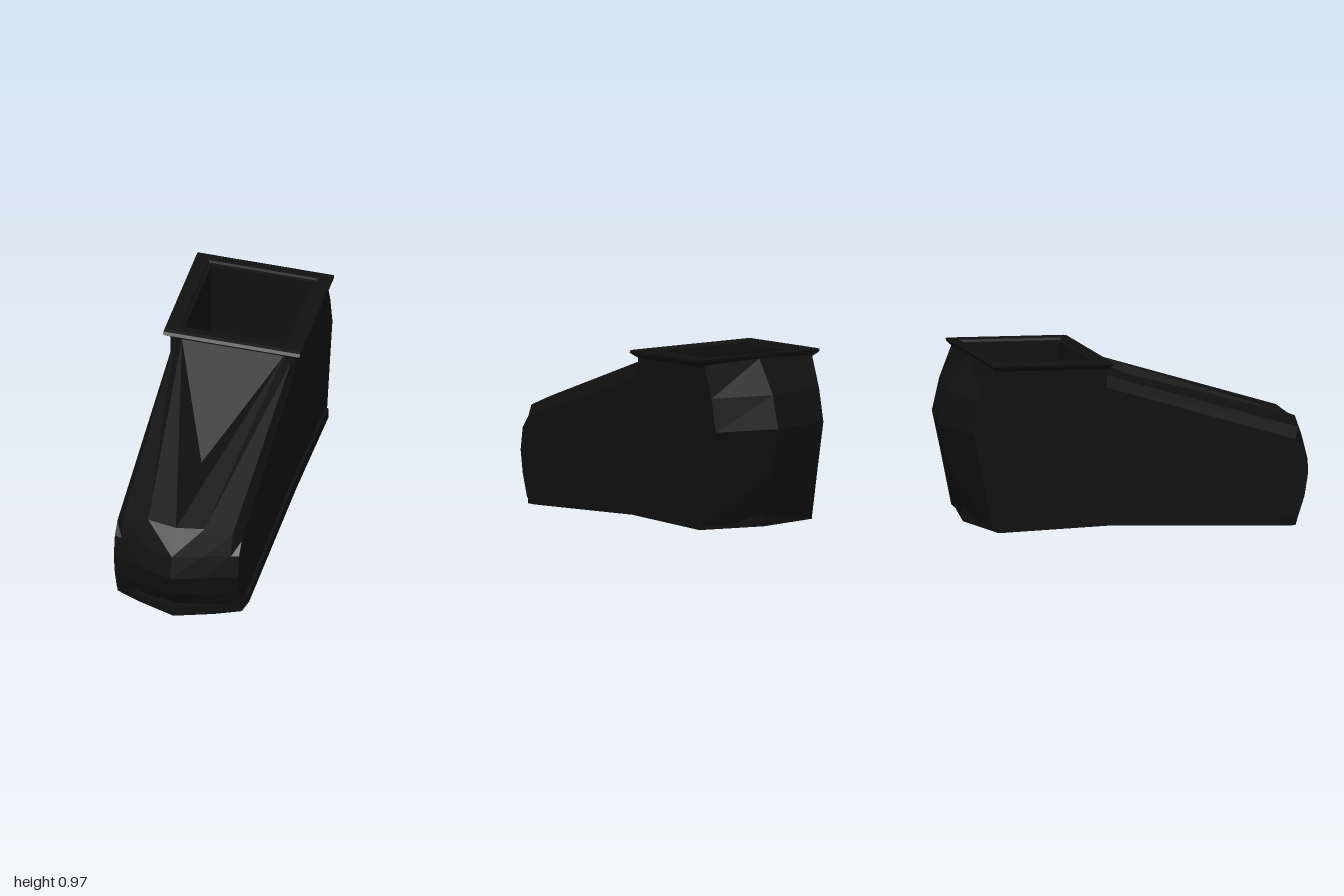
import * as THREE from 'three';

const black = new THREE.MeshStandardMaterial({ color: 0x101010, side: THREE.DoubleSide });
black.name = 'matte black';

// Faceted surface through rows of [x, y, z] points; empty triangles are dropped.
function grid(rows, closed = false) {
  const pos = [];
  const same = (a, b) => a.every((v, k) => Math.abs(v - b[k]) < 1e-6);
  const tri = (a, b, c) => {
    if (!same(a, b) && !same(b, c) && !same(a, c)) pos.push(...a, ...b, ...c);
  };
  for (let i = 0; i < rows.length - 1; i++) {
    const n = rows[i].length;
    for (let j = 0; j < (closed ? n : n - 1); j++) {
      const k = (j + 1) % n;
      tri(rows[i][j], rows[i][k], rows[i + 1][j]);
      tri(rows[i][k], rows[i + 1][k], rows[i + 1][j]);
    }
  }
  const g = new THREE.BufferGeometry();
  g.setAttribute('position', new THREE.Float32BufferAttribute(pos, 3));
  g.computeVertexNormals();
  return g;
}

export function createModel() {
  const model = new THREE.Group();
  model.name = 'blockBoot';
  const add = (name, geometry) => {
    const m = new THREE.Mesh(geometry, black);
    m.name = name;
    model.add(m);
    return m;
  };
  const addPair = (name, geometry) => {
    add(name + 'Left', geometry);
    add(name + 'Right', geometry).scale.x = -1;
  };

  const W = 0.33, ankleZ = -0.2;
  // Profiles as [side z, centre z, y], from the sole upwards
  const toe = [[0.83, 0.89, 0.04], [0.87, 0.965, 0.16], [0.89, 1.0, 0.28], [0.87, 0.97, 0.4]];
  const heel = [[-0.815, -0.845, 0.1], [-0.87, -0.945, 0.37], [-0.92, -1.0, 0.6],
    [-0.88, -0.95, 0.77], [-0.81, -0.825, 0.945]];
  // Upper rim of the toe cap and matching rim at the ankle, from side to centre
  const toeRim = [[W, 0.46, 0.82], [0.29, 0.515, 0.85], [0.15, 0.545, 0.88], [0, 0.53, 0.89]];
  const ankleRim = [[W, 0.8, ankleZ], [0.31, 0.86, ankleZ], [0.27, 0.89, ankleZ], [0.27, 0.89, ankleZ]];
  const column = (profile, x) =>
    profile.map(([side, mid, y]) => [x, y, mid + (side - mid) * x / W]);

  // Toe cap, instep and wedge-shaped heel
  addPair('toeCap', grid(toeRim.map(p => [...column(toe, p[0]), p])));
  addPair('instep', grid(toeRim.map((p, i) => [p, ankleRim[i]])));
  addPair('heelBack', grid([0, W].map(x => column(heel, x))));

  // Sunken tongue with its V-shaped walls
  const ankle = ankleRim[2], mid = [0, 0.89, ankleZ];
  addPair('tongue', grid([toeRim[3], [0, 0.59, 0.4], mid].map(p => [p, ankle])));
  addPair('ankleFront', grid([...ankleRim.slice(0, 3), mid].map(p => [p, [p[0], 0.93, ankleZ]])));

  // Flat side walls
  const outline = [
    ...toe.map(([z, , y]) => [z, y]), [0.82, 0.46], [ankleZ, 0.8], [ankleZ, 0.93],
    ...heel.map(([z, , y]) => [z, y]).reverse(), [-0.17, 0.1],
  ];
  const wall = new THREE.ShapeGeometry(
    new THREE.Shape(outline.map(([z, y]) => new THREE.Vector2(-z, y))));
  wall.rotateY(Math.PI / 2).translate(W, 0, 0);
  addPair('sideWall', wall);

  // Sole: rises towards the ankle, flat under the heel
  const soleEdge = [[0, -0.865], [0.345, -0.79], [0.347, -0.17], [0.347, 0.74],
    [0.33, 0.82], [0.2, 0.875], [0, 0.94]];
  addPair('sole', grid(soleEdge.map(([x, z]) => {
    const t = Math.max(0, (z + 0.17) / 1.11);
    const low = 0.08 - 0.078 * t;
    const high = z < -0.17 ? 0.15 + (z + 0.17) * 0.02 : 0.15 - 0.1 * t;
    return [[0, low, z], [x, low, z], [x, high, z], [0, high, z]];
  })));

  // Collar flange, stepped lip and deep opening: [half width, front z, back z, y offset]
  const rim = z => 0.94 - (z - ankleZ) * 0.045;
  const ring = ([w, f, b, dy], flat) => [[-w, f], [w, f], [w, b], [-w, b]]
    .map(([x, z]) => [x, flat ?? rim(z) + dy, z]);
  const collar = [
    [0.33, -0.2, -0.805, -0.045], [0.363, -0.17, -0.83, -0.018], [0.363, -0.18, -0.835, -0.004],
    [0.355, -0.2, -0.825, 0], [0.29, -0.235, -0.785, 0], [0.285, -0.24, -0.78, -0.012],
    [0.27, -0.255, -0.765, -0.014],
  ];
  add('collar', grid(collar.map(r => ring(r)), true));
  const inner = collar[collar.length - 1];
  add('openingLining', grid([ring(inner), ring(inner, 0.3), ring([0, -0.5, -0.5, 0], 0.3)], true));

  return model;
}
